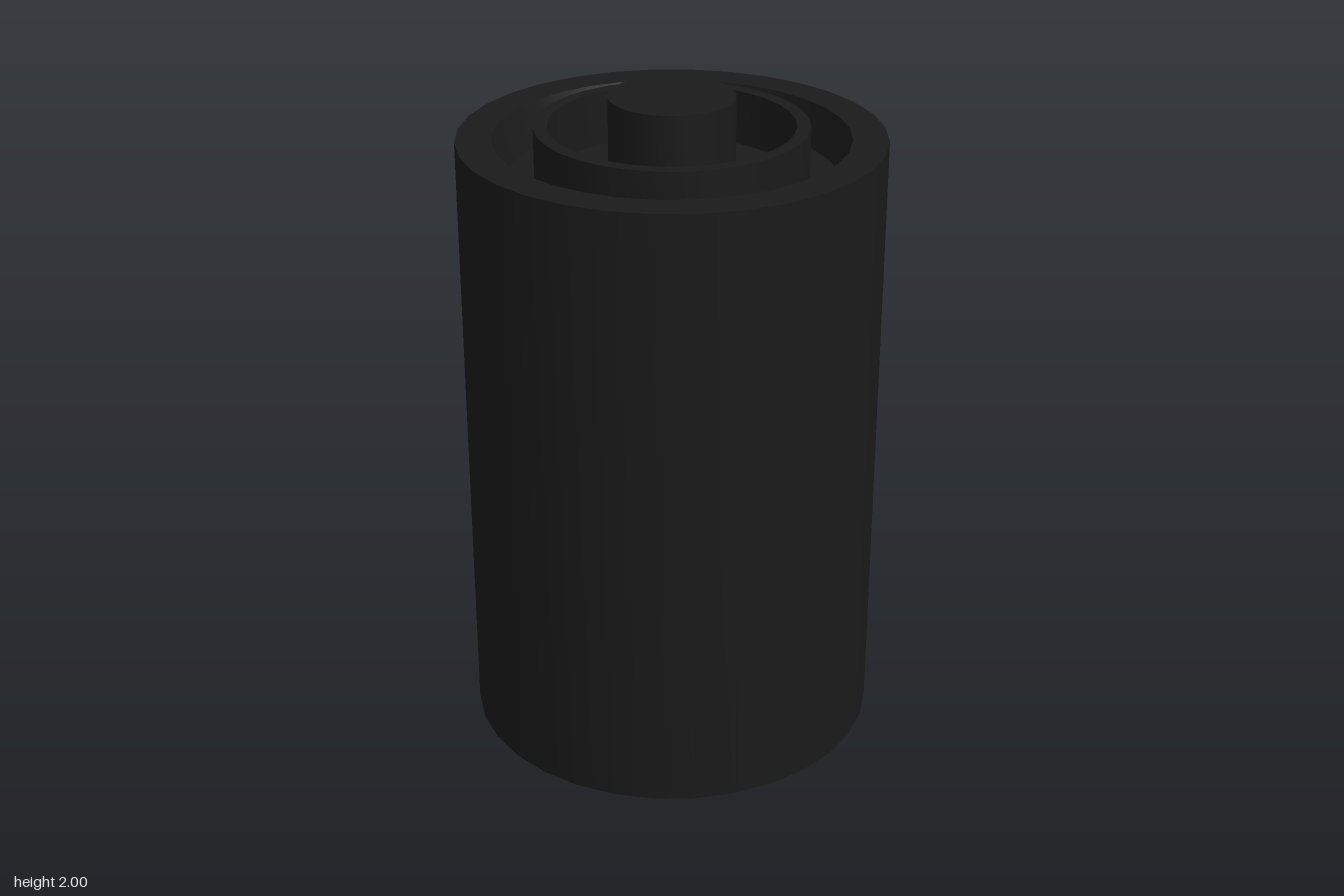
import * as THREE from 'three';
import { toCreasedNormals } from 'three/addons/utils/BufferGeometryUtils.js';

const SIDES = 32;
const FLOOR = 1.75; // level of the recessed top

export function createModel() {
  const model = new THREE.Group();
  const black = new THREE.MeshStandardMaterial({ color: 0x1a1a1a });

  // Turns a profile of [radius, height] pairs, keeping its corners sharp
  function turned(name, profile) {
    const points = profile.map(([r, y]) => new THREE.Vector2(r, y));
    const geometry = toCreasedNormals(new THREE.LatheGeometry(points, SIDES), Math.PI / 6);
    const mesh = new THREE.Mesh(geometry, black);
    mesh.name = name;
    model.add(mesh);
  }

  // Solid drum with a flat rim and a tapered recess in the top
  turned('body', [
    [0, 0], [0.625, 0], [0.625, 1.88], [0.52, 1.88], [0.49, FLOOR], [0, FLOOR],
  ]);

  // Thin collar standing in the recess
  turned('collar', [
    [0.4, FLOOR], [0.4, 1.915], [0.36, 1.915], [0.36, FLOOR],
  ]);

  // Central post
  turned('post', [
    [0.185, FLOOR], [0.185, 2], [0, 2],
  ]);

  return model;
}
